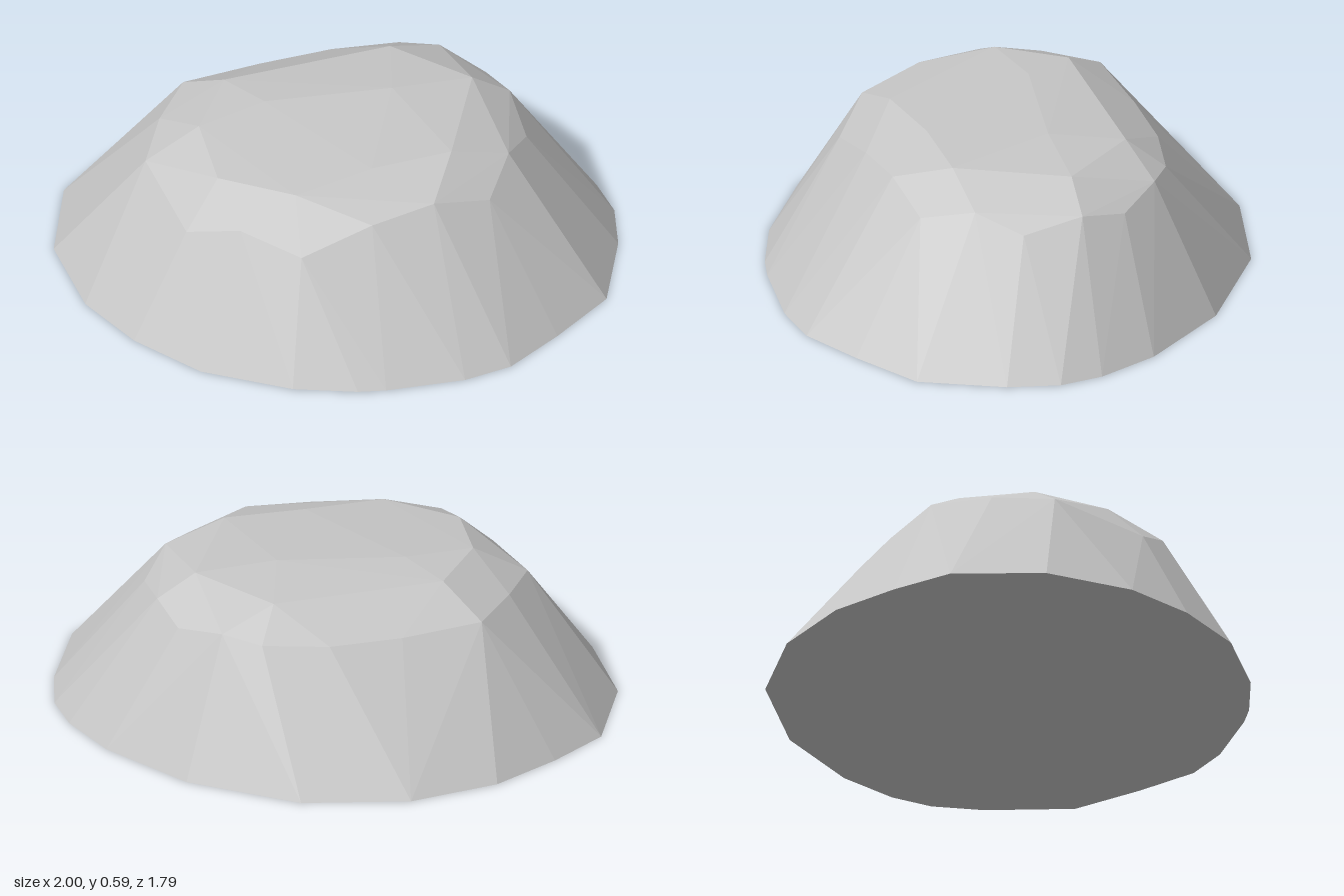
import * as THREE from 'three';
import { ConvexGeometry } from 'three/addons/geometries/ConvexGeometry.js';

// Ground outline of the boulder: x, z
const base = [
  [-0.10, -0.90], [0.29, -0.83], [0.66, -0.59], [0.89, -0.29], [0.98, -0.07], [1.0, 0.09], [0.96, 0.28],
  [0.83, 0.58], [0.60, 0.74], [0.39, 0.865], [0.21, 0.895], [-0.08, 0.875], [-0.18, 0.855], [-0.40, 0.775],
  [-0.69, 0.585], [-0.87, 0.345], [-0.98, 0.09], [-1.0, -0.25], [-0.87, -0.57], [-0.67, -0.71], [-0.43, -0.84],
];

// Shoulder where the steep sides meet the bevel: x, y, z
const shoulder = [
  [-0.30, 0.40, 0.54], [-0.03, 0.475, 0.52], [0.21, 0.50, 0.49], [0.43, 0.44, 0.45], [0.55, 0.50, 0.28],
  [0.66, 0.44, 0.13], [0.66, 0.485, -0.09], [0.62, 0.45, -0.26], [0.49, 0.49, -0.41], [0.36, 0.47, -0.49],
  [0.12, 0.46, -0.53], [-0.15, 0.46, -0.52], [-0.45, 0.47, -0.48], [-0.59, 0.47, -0.30], [-0.70, 0.45, -0.10],
  [-0.65, 0.385, 0.26], [-0.49, 0.46, 0.40],
];

// Nearly flat crown: x, y, z
const crown = [
  [0.33, 0.57, 0.30], [0.03, 0.565, 0.31], [-0.27, 0.545, 0.36], [-0.51, 0.54, 0.18], [-0.50, 0.565, -0.10],
  [-0.34, 0.57, -0.33], [0.29, 0.565, -0.36], [0.52, 0.575, -0.09], [-0.24, 0.585, -0.15], [0.22, 0.592, -0.09],
];

export function createModel() {
  const stone = new THREE.MeshStandardMaterial({ color: 0xc6c6c6 });
  stone.name = 'stone grey';

  // Faceted convex stone wrapped around the three levels
  const points = [...base.map(([x, z]) => [x, 0, z]), ...shoulder, ...crown]
    .map((p) => new THREE.Vector3(...p));
  const boulder = new THREE.Mesh(new ConvexGeometry(points), stone);
  boulder.name = 'boulder';

  const model = new THREE.Group();
  model.name = 'rock';
  model.add(boulder);
  return model;
}
